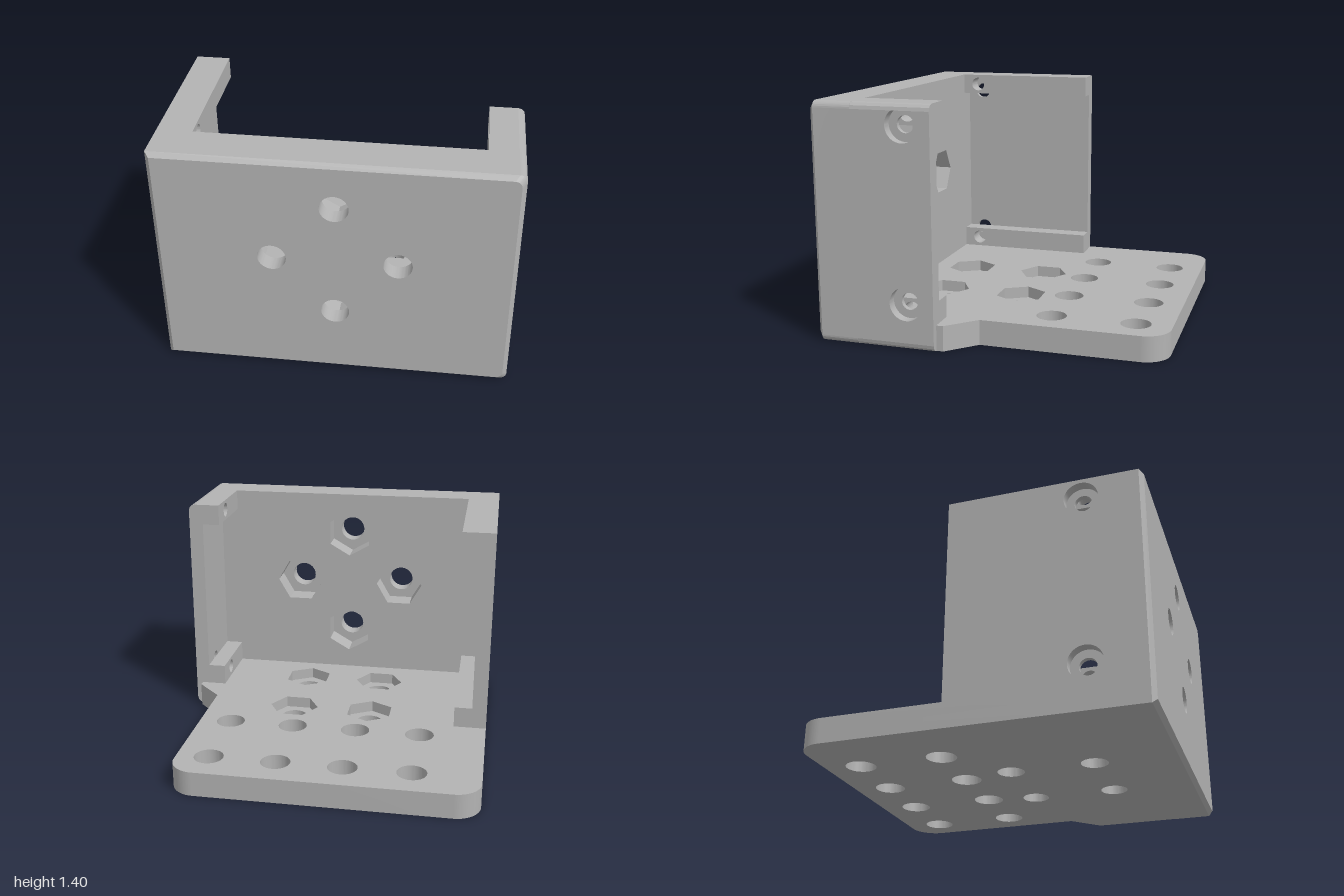
import * as THREE from 'three';
import { mergeGeometries, toCreasedNormals } from 'three/addons/utils/BufferGeometryUtils.js';

const HOLE = 0.08, HEX = 0.155, FILLET = 0.04, H = 1.4, BASE = 0.15;
const LO = 0.28, HI = 1.27; // height range of the recess in the side walls

const circle = (x, y, r) => new THREE.Path().absarc(x, y, r, 0, Math.PI * 2, true);

// Hexagon with one corner at the given angle
function hexagon(x, y, angle) {
  const pts = [];
  for (let i = 0; i < 6; i++) {
    const a = angle + i * Math.PI / 3;
    pts.push(new THREE.Vector2(x + HEX * Math.cos(a), y + HEX * Math.sin(a)));
  }
  return new THREE.Path(pts);
}

const polygon = pts => new THREE.Shape(pts.map(p => new THREE.Vector2(...p)));
const rect = (x0, x1, y0, y1) => polygon([[x0, y0], [x1, y0], [x1, y1], [x0, y1]]);

// Extrude from depth a to depth b, with holes
function slab(shape, holes, a, b) {
  shape.holes = holes;
  const g = new THREE.ExtrudeGeometry(shape, { depth: b - a, bevelEnabled: false, curveSegments: 32 });
  return g.translate(0, 0, a);
}

// Move the vertices by a rule
function reshape(g, rule) {
  const p = g.attributes.position, v = new THREE.Vector3();
  for (let i = 0; i < p.count; i++) {
    rule(v.fromBufferAttribute(p, i));
    p.setXYZ(i, v.x, v.y, v.z);
  }
  g.computeVertexNormals();
  return g;
}

export function createModel() {
  const group = new THREE.Group();
  const grey = new THREE.MeshStandardMaterial({ color: 0xb3b3b3 });
  grey.name = 'grey plastic';

  const add = (name, geos) => {
    const mesh = new THREE.Mesh(toCreasedNormals(mergeGeometries(geos), 0.24), grey);
    mesh.name = name;
    mesh.position.x = 0.005;
    group.add(mesh);
  };

  // Base plate: round holes below, hexagonal nut pockets above (shape y = -z)
  const baseShape = () => {
    const s = new THREE.Shape(), r = 0.15;
    s.moveTo(-1, -0.75);
    s.lineTo(0.79, -0.75);
    s.lineTo(0.79, 1 - r);
    s.absarc(0.79 - r, 1 - r, r, 0, Math.PI / 2, false);
    s.lineTo(-1 + r, 1);
    s.absarc(-1 + r, 1 - r, r, Math.PI / 2, Math.PI, false);
    s.closePath();
    return s;
  };
  const gridHoles = () => {
    const list = [];
    for (const x of [-0.6, -0.2, 0.195, 0.595])
      for (const z of [-0.79, -0.295]) list.push(circle(x, -z, 0.088));
    return list;
  };
  const nuts = [[-0.25, 0, 1], [0.245, 0, 0], [-0.25, 0.5, 0], [0.245, 0.5, 1]];
  add('basePlate', [
    slab(baseShape(), [...gridHoles(), ...nuts.map(([x, z]) => circle(x, -z, HOLE))], 0, 0.08),
    slab(baseShape(), [...gridHoles(), ...nuts.map(([x, z, t]) => hexagon(x, -z, t * Math.PI / 2))], 0.08, BASE),
  ].map(g => g.rotateX(-Math.PI / 2)));

  // Angled brace between base plate and short wall
  add('baseCorner', [
    slab(polygon([[0.79, -0.28], [0.95, -0.28], [0.95, -0.24], [0.79, -0.08]]), [], 0, BASE)
      .rotateX(-Math.PI / 2),
  ]);

  // Front panel: rounded on the left edges, chamfered front, nut pockets inside
  const panelShape = () => {
    const s = new THREE.Shape(), c = 0.99 - FILLET;
    s.moveTo(-1, 0);
    s.lineTo(c, 0);
    s.absarc(c, FILLET, FILLET, -Math.PI / 2, 0, false);
    s.lineTo(0.99, H - FILLET);
    s.absarc(c, H - FILLET, FILLET, 0, Math.PI / 2, false);
    s.lineTo(-1, H);
    s.closePath();
    return s;
  };
  const bolts = [[0, 1.127, 1], [0, 0.43, 1], [-0.348, 0.778, 0], [0.348, 0.778, 0]];
  const round = () => bolts.map(([x, y]) => circle(x, y, HOLE));
  const chamfer = reshape(slab(panelShape(), round(), 0.975, 1), v => {
    const outer = Math.abs(v.x) > 0.6 || v.y < 0.2 || v.y > 1.25;
    if (outer && v.z > 0.99) {
      v.x *= 0.975;
      v.y = 0.7 + (v.y - 0.7) * (0.675 / 0.7);
    }
  });
  add('frontPanel', [
    slab(panelShape(), bolts.map(([x, y, t]) => hexagon(x, y, t * Math.PI / 2)), 0.75, 0.9),
    slab(panelShape(), round(), 0.9, 0.975),
    chamfer,
  ]);

  // Side walls are extruded along x (shape x = -z)
  const alongX = g => g.rotateY(Math.PI / 2);
  const screwY = [0.27, 1.28];
  const screws = (z, r) => screwY.map(y => circle(-z, y, r));
  // Top and bottom lugs that stand proud of the recess, each with a screw hole
  const lugs = (z0, z1, zs, x0, x1) => [[BASE, LO, 0.215], [HI, H, 1.335]].map(([y0, y1, y]) =>
    alongX(slab(rect(-z1, -z0, y0, y1), [circle(-zs, y, 0.045)], x0, x1)));

  // Short left wall with counterbored screws and filleted outer edges
  const ZL = 0.445;
  const left = (x0, x1, r) => alongX(slab(rect(-0.75, -0.28, 0, H), screws(ZL, r), x0, x1));
  const leftParts = [left(0.9, 0.93, 0.05), left(0.93, 0.95, 0.098)];
  for (let i = 0; i < 3; i++) {
    const at = k => 0.95 + FILLET * Math.sin(k * Math.PI / 6);
    leftParts.push(reshape(left(at(i), at(i + 1), 0.098), v => {
      const d = Math.min(FILLET, Math.max(0, v.x - 0.95));
      const inset = FILLET - Math.sqrt(FILLET * FILLET - d * d);
      v.y = Math.min(H - inset, Math.max(inset, v.y));
    }));
  }
  leftParts.push(alongX(slab(rect(-0.75, -0.28, 0, BASE), [], 0.79, 0.9)));
  add('leftWall', leftParts);
  add('leftLugs', lugs(0.28, 0.75, ZL, 0.79, 0.9));

  // Long right wall with counterbored screws
  const ZR = 0.645;
  const right = (x0, x1, r) => alongX(slab(rect(-0.75, 0.14, BASE, H), screws(ZR, r), x0, x1));
  add('rightWall', [right(-1, -0.94, 0.098), right(-0.94, -0.91, 0.05)]);
  add('rightLugs', lugs(-0.14, 0.75, ZR, -0.91, -0.8));

  return group;
}
